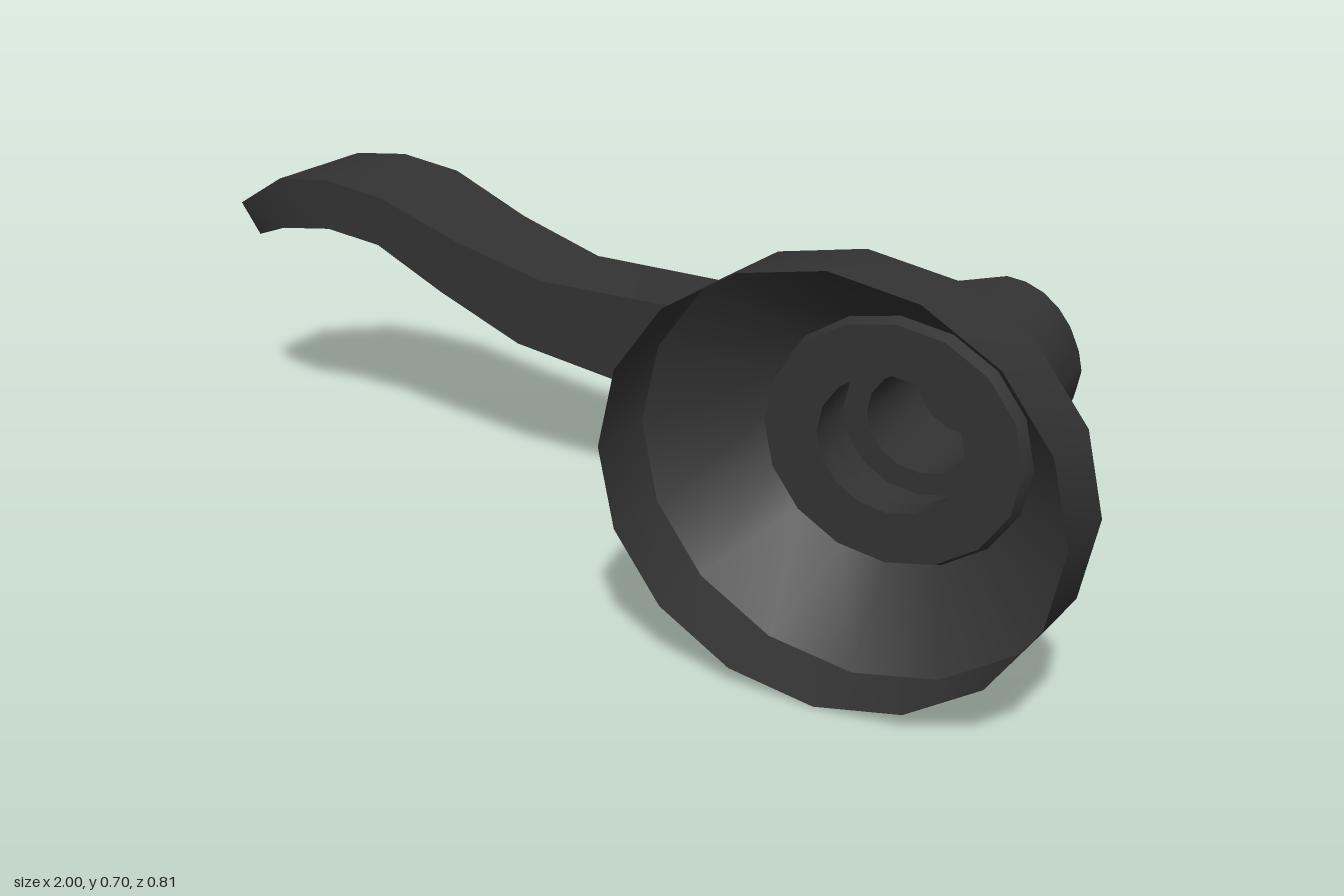
import * as THREE from 'three';
import { toCreasedNormals } from 'three/addons/utils/BufferGeometryUtils.js';

const HUB_X = 0.612, HUB_Y = 0.35;
const material = new THREE.MeshStandardMaterial({ color: 0x333333, side: THREE.DoubleSide });

function addPart(group, name, geometry) {
  const mesh = new THREE.Mesh(toCreasedNormals(geometry, 0.5), material);
  mesh.name = name;
  group.add(mesh);
  return mesh;
}

// Open turned shell along z, from [radius, z] pairs, slightly wider than tall
function turned(profile) {
  const g = new THREE.LatheGeometry(profile.map(([r, z]) => new THREE.Vector2(r, z)), 16);
  return g.rotateX(Math.PI / 2).scale(1.113, 1, 1).translate(HUB_X, HUB_Y, 0);
}

// Lever skin: each station is [xTop, yTop, xBottom, yBottom, zFront, zBack]
function leverGeometry(stations) {
  const bevel = 0.013, pos = [], idx = [];
  for (const [xt, yt, xb, yb, zf, zb] of stations) {
    const height = yt - yb, b = Math.min(bevel / height, 0.4);
    const ring = [[0, zf], [1, zf], [1, zb + bevel], [1 - b, zb], [b, zb], [0, zb + bevel]];
    for (const [t, z] of ring) pos.push(xb + (xt - xb) * t, yb + height * t, z);
  }
  const n = 6, last = (stations.length - 1) * n;
  for (let s = 0; s < stations.length - 1; s++) {
    for (let i = 0; i < n; i++) {
      const a = s * n + i, b = s * n + (i + 1) % n;
      idx.push(a, a + n, b, b, a + n, b + n);
    }
  }
  // End caps
  for (let i = 1; i < n - 1; i++) {
    idx.push(0, i, i + 1, last, last + i + 1, last + i);
  }
  const g = new THREE.BufferGeometry();
  g.setAttribute('position', new THREE.Float32BufferAttribute(pos, 3));
  g.setIndex(idx);
  return g;
}

export function createModel() {
  const group = new THREE.Group();
  group.name = 'doorLever';

  // Hollow wall rose with a shallow recess around the neck
  addPart(group, 'rose', turned([
    [0.348, 0.405], [0.348, 0.27], [0.208, 0.138], [0.2, 0.16], [0.115, 0.16],
  ]));

  // Neck, collar and shaft
  addPart(group, 'neck', turned([
    [0.115, 0.16], [0.115, 0.113], [0.125, 0.113], [0.125, 0.04],
    [0.087, 0.04], [0.087, -0.17],
  ]));

  // Wavy lever from the tip to the hub
  const stations = [
    [-1.0, 0.44, -0.955, 0.38, -0.19, -0.355],
    [-0.855, 0.52, -0.85, 0.42, -0.14, -0.405],
    [-0.735, 0.533, -0.735, 0.435, -0.138, -0.405],
    [-0.605, 0.515, -0.615, 0.42, -0.138, -0.405],
    [-0.43, 0.45, -0.47, 0.345, -0.145, -0.385],
    [-0.245, 0.402, -0.3, 0.27, -0.152, -0.363],
    [0.2, 0.396, 0.13, 0.2, -0.157, -0.352],
    [0.6, 0.5, 0.6, 0.196, -0.16, -0.343],
  ];
  // Rounded hub end
  for (let i = 1; i <= 6; i++) {
    const a = (i / 6) * 1.5;
    const x = 0.6 + 0.14 * Math.sin(a), h = 0.152 * Math.cos(a);
    stations.push([x, 0.348 + h, x, 0.348 - h, -0.16, -0.343]);
  }
  addPart(group, 'lever', leverGeometry(stations));

  // Raised teardrop panel on the back of the lever
  const cx = 0.58, cy = 0.352, r = 0.085;
  const tear = new THREE.Shape();
  tear.moveTo(-0.13, 0.3);
  tear.lineTo(cx - 0.02, cy - r);
  tear.absarc(cx, cy, r, -Math.PI / 2, Math.PI / 2 + 0.1, false);
  tear.lineTo(-0.13, 0.3);
  const panel = new THREE.ExtrudeGeometry(tear, {
    depth: 0.02, bevelEnabled: true, bevelThickness: 0.014, bevelSize: 0.014,
    bevelOffset: -0.004, bevelSegments: 1, curveSegments: 8,
  });
  addPart(group, 'teardropPanel', panel.translate(0, 0, -0.349));

  return group;
}
